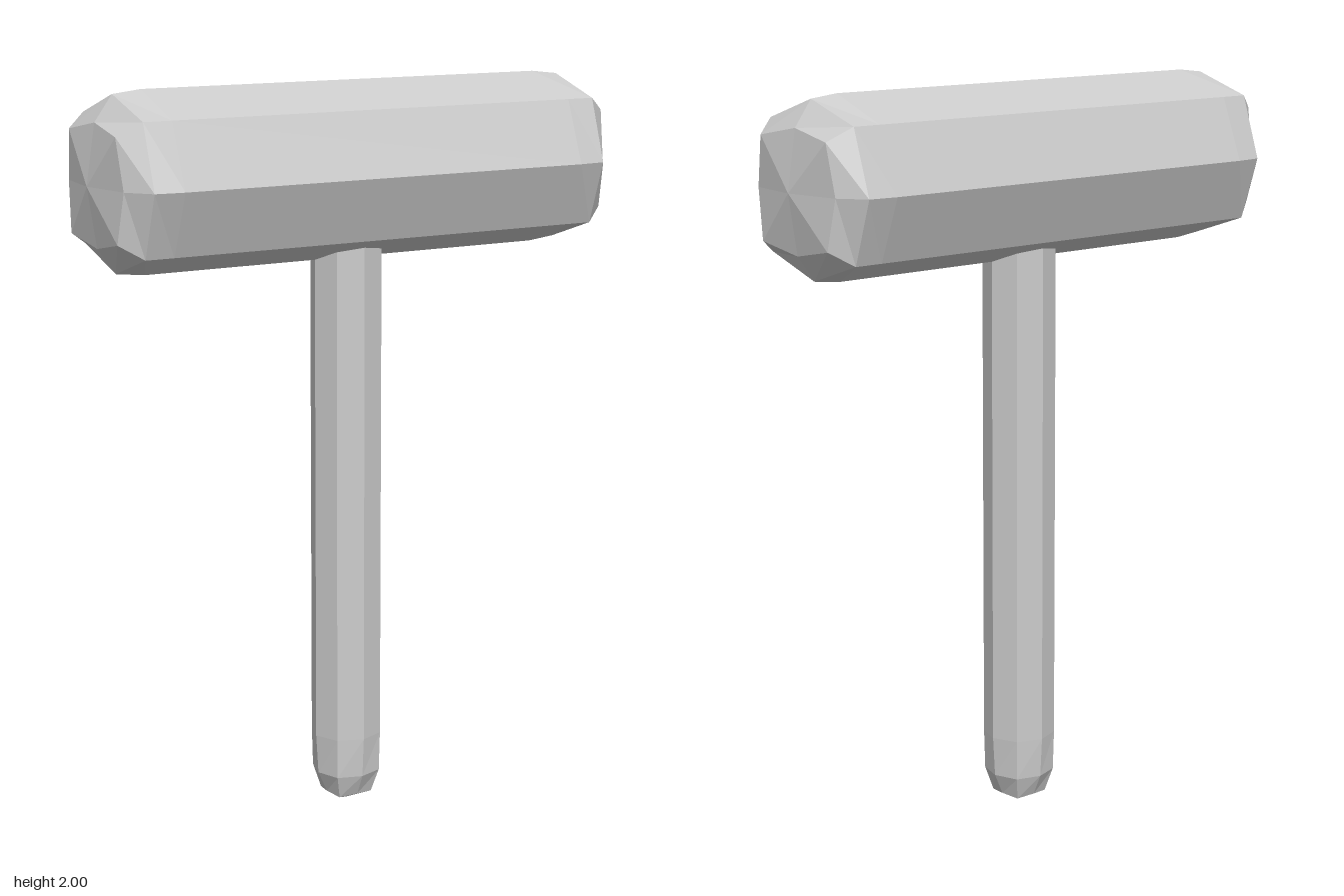
import * as THREE from 'three';

// Eight-sided bar along y, lofted from rings ordered bottom to top.
// Each ring: [height, radius] of the straight corners, then of the diagonal corners.
function octagonBar(rings) {
  const corner = (ring, k) => {
    const [h, r] = k % 2 ? ring.slice(2) : ring;
    const a = (k * Math.PI) / 4;
    return [r * Math.sin(a), h, r * Math.cos(a)];
  };
  const positions = [];
  for (let i = 0; i < rings.length - 1; i++) {
    const lower = rings[i], upper = rings[i + 1];
    for (let k = 0; k < 8; k++) {
      const a = corner(lower, k), b = corner(lower, k + 1);
      const c = corner(upper, k + 1), d = corner(upper, k);
      // a ring of radius 0 is the tip of the domed end
      if (lower[1] > 0) positions.push(...a, ...b, ...(upper[1] > 0 ? c : d));
      if (upper[1] > 0) positions.push(...a, ...c, ...d);
    }
  }
  const geometry = new THREE.BufferGeometry();
  geometry.setAttribute('position', new THREE.Float32BufferAttribute(positions, 3));
  geometry.computeVertexNormals();
  return geometry;
}

export function createModel() {
  const model = new THREE.Group();
  model.name = 'mallet';
  const material = new THREE.MeshStandardMaterial({ color: 0xcccccc, flatShading: true });

  // Head: bevelled bar with shallow domed ends, mirrored about its middle
  const end = [
    [0.6, 0.235, 0.6, 0.24],
    [0.68, 0.226, 0.68, 0.24],
    [0.73, 0.158, 0.738, 0.188],
    [0.755, 0, 0.755, 0],
  ];
  const otherEnd = end.map(([h, r, hd, rd]) => [-h, r, -hd, rd]).reverse();
  const head = new THREE.Mesh(octagonBar([...otherEnd, ...end]), material);
  head.name = 'head';
  head.rotation.z = Math.PI / 2;
  head.position.y = 1.766;
  model.add(head);

  // Handle: slim bar with a rounded foot, its top sunk into the head
  const handle = new THREE.Mesh(octagonBar([
    [0, 0, 0, 0],
    [0.03, 0.062, 0.025, 0.072],
    [0.09, 0.089, 0.09, 0.095],
    [0.2, 0.096, 0.2, 0.098],
    [1.7, 0.096, 1.7, 0.098],
    [1.72, 0, 1.72, 0],
  ]), material);
  handle.name = 'handle';
  model.add(handle);

  return model;
}
